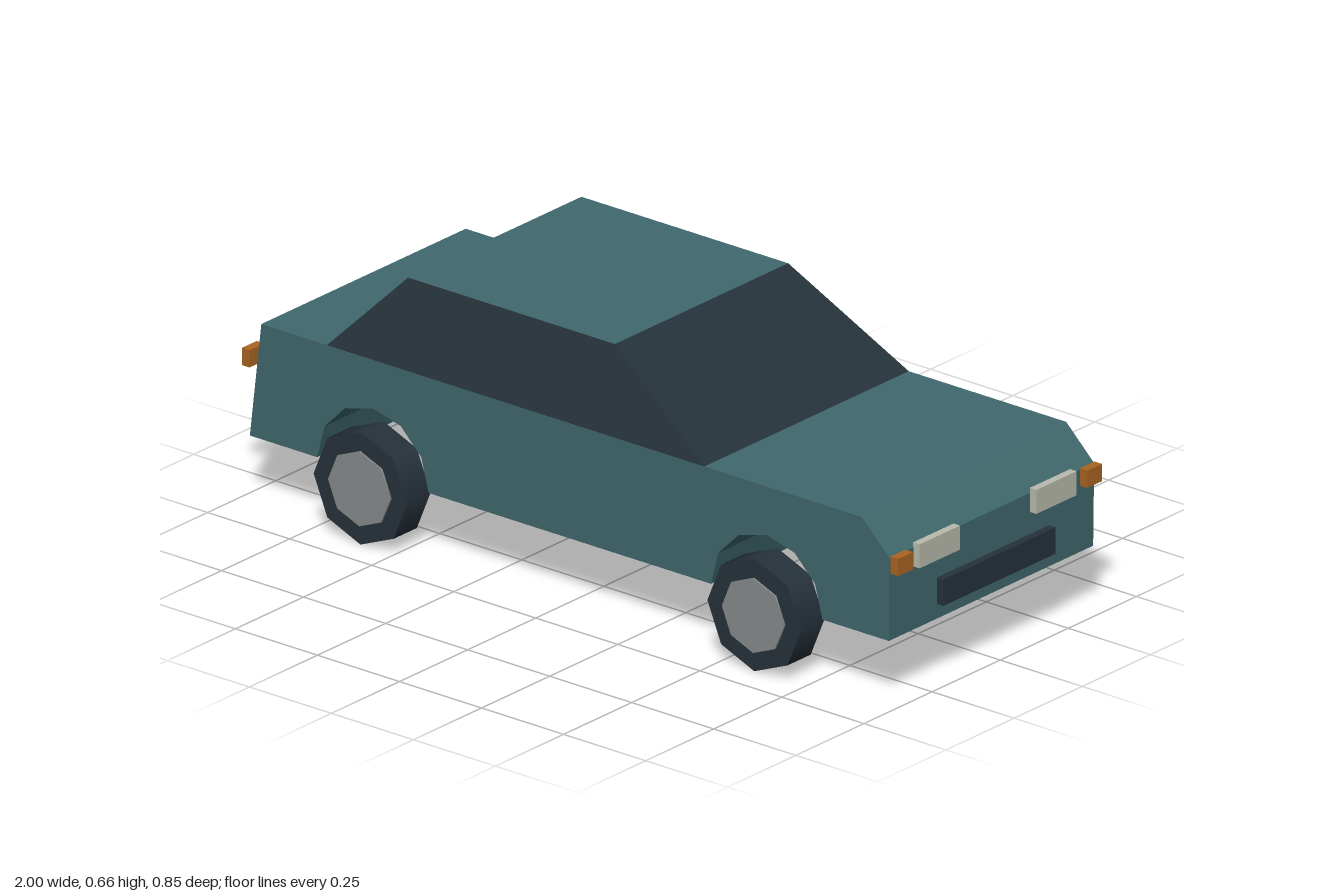
import * as THREE from 'three';

const paint = (name, color) => {
  const m = new THREE.MeshStandardMaterial({ color });
  m.name = name;
  return m;
};

export function createModel() {
  const teal = paint('teal paint', 0x40686d);
  const dark = paint('dark glass and rubber', 0x26323b);
  const steel = paint('wheel grey', 0x868a8c);
  const pale = paint('headlight cream', 0xb8bbad);
  const amber = paint('amber', 0xaa6522);
  const red = paint('tail light red', 0x7a171b);

  const car = new THREE.Group();
  car.name = 'car';
  const add = (name, geometry, material, x = 0, y = 0, z = 0) => {
    const mesh = new THREE.Mesh(geometry, material);
    mesh.name = name;
    mesh.position.set(x, y, z);
    car.add(mesh);
    return mesh;
  };

  // Body: side profile with two wheel arches, extruded across the width
  const floor = 0.162, deck = 0.455, halfWidth = 0.375, axle = 0.6;
  const profile = [[-0.975, floor], [-0.94, deck], [0.89, deck], [0.975, 0.373], [0.972, floor]];
  for (const cx of [axle, -axle]) {
    for (let i = 0; i <= 6; i++) {
      const a = (i / 6) * Math.PI;
      profile.push([cx + 0.17 * Math.cos(a), floor + 0.17 * Math.sin(a)]);
    }
  }
  const side = new THREE.Shape(profile.map(([x, y]) => new THREE.Vector2(x, y)));
  const body = new THREE.ExtrudeGeometry(side, { depth: halfWidth * 2, bevelEnabled: false });
  add('body', body, teal, 0, 0, -halfWidth);

  // Cabin: box tapered towards the roof, with a painted top
  const cabin = new THREE.BoxGeometry(1, 1, 1);
  const p = cabin.attributes.position;
  for (let i = 0; i < p.count; i++) {
    const top = p.getY(i) > 0, front = p.getX(i) > 0;
    const x = top ? (front ? 0.09 : -0.54) : (front ? 0.41 : -0.74);
    p.setXYZ(i, x, top ? 0.662 : deck, Math.sign(p.getZ(i)) * (top ? 0.318 : halfWidth));
  }
  cabin.computeVertexNormals();
  add('cabin', cabin, [dark, dark, teal, dark, dark, dark]);

  // Wheels: eight-sided tyres with hubs standing slightly proud
  const tyre = new THREE.CylinderGeometry(0.143, 0.143, 0.085, 8).rotateX(Math.PI / 2);
  const hub = new THREE.CylinderGeometry(0.095, 0.095, 0.095, 8).rotateX(Math.PI / 2);
  for (const x of [axle, -axle]) {
    for (const s of [1, -1]) {
      add('tyre', tyre, dark, x, 0.143, s * 0.378);
      add('hub', hub, steel, x, 0.143, s * 0.378);
    }
  }

  // Lamps, mirrored across the width
  const lamp = new THREE.BoxGeometry(0.02, 0.061, 0.148);
  const indicator = new THREE.BoxGeometry(0.023, 0.044, 0.054);
  for (const s of [1, -1]) {
    add('headlight', lamp, pale, 0.984, 0.355, s * 0.214);
    add('tailLight', lamp, red, -0.988, 0.355, s * 0.214);
    add('frontIndicator', indicator, amber, 0.9885, 0.356, s * 0.347);
    add('rearIndicator', indicator, amber, -0.9885, 0.356, s * 0.347);
  }

  // Grille
  add('grille', new THREE.BoxGeometry(0.02, 0.067, 0.412), dark, 0.988, 0.237, 0);

  return car;
}
